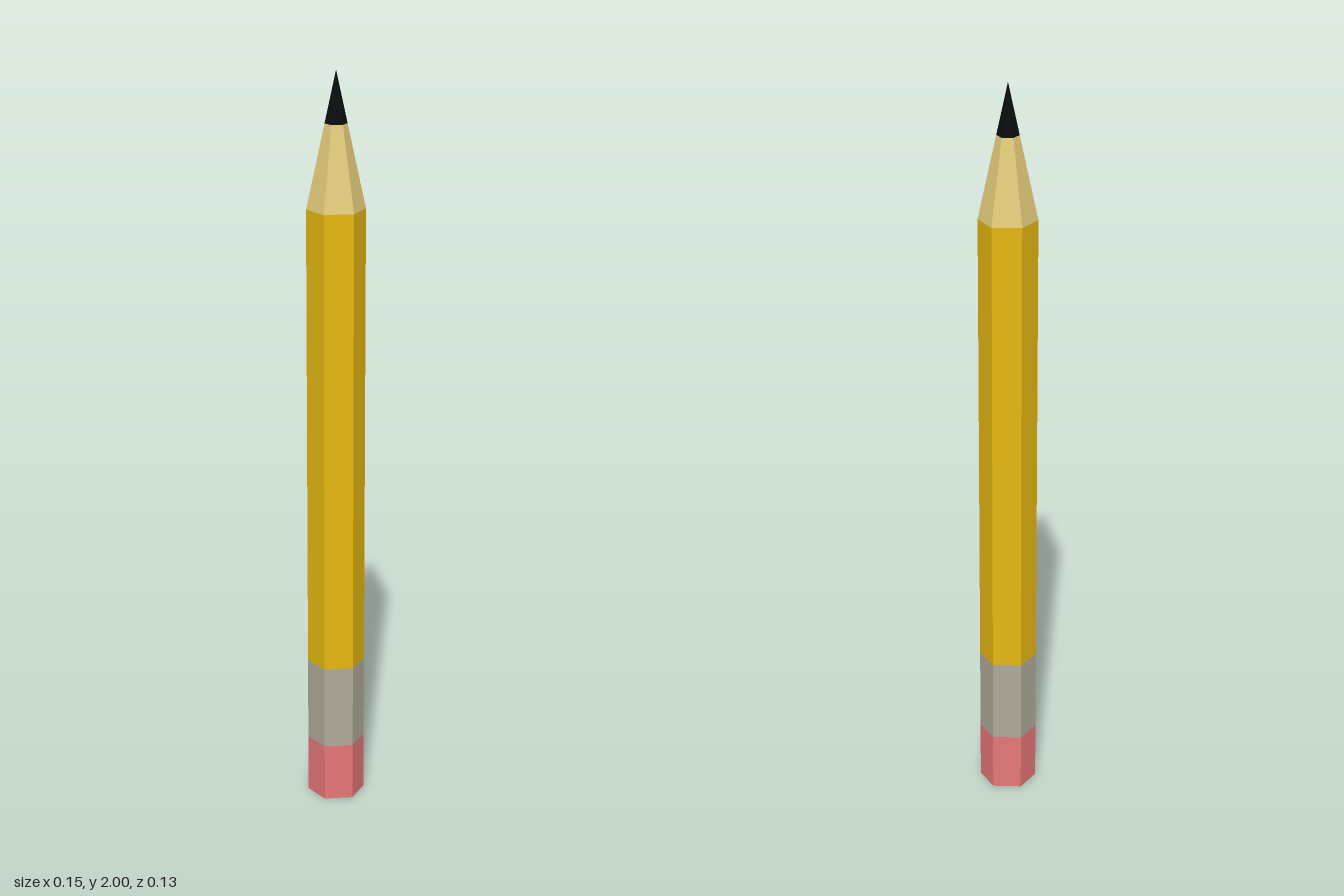
import * as THREE from 'three';

const RADIUS = 0.077;
const SHOULDER = 1.645; // where the sharpened cone starts
const TIP = 2;

function material(name, color) {
  const m = new THREE.MeshStandardMaterial({ color });
  m.name = name;
  m.flatShading = true;
  return m;
}

// Outer radius of the pencil at height y
function radiusAt(y) {
  return y <= SHOULDER ? RADIUS : RADIUS * (TIP - y) / (TIP - SHOULDER);
}

// One six-sided section between two heights, with corners on the x axis
function section(name, y0, y1, mat, capped = false) {
  const geo = new THREE.CylinderGeometry(
    radiusAt(y1), radiusAt(y0), y1 - y0, 6, 1, !capped, Math.PI / 2);
  const mesh = new THREE.Mesh(geo, mat);
  mesh.name = name;
  mesh.position.y = (y0 + y1) / 2;
  return mesh;
}

export function createModel() {
  const pencil = new THREE.Group();
  pencil.name = 'pencil';
  pencil.add(
    section('eraser', 0, 0.16, material('pink rubber', 0xe67678), true),
    section('ferrule', 0.16, 0.39, material('grey metal', 0xafaa98)),
    section('barrel', 0.39, SHOULDER, material('yellow paint', 0xe5b712)),
    section('sharpenedWood', SHOULDER, 1.865, material('bare wood', 0xe2cb7b)),
    section('lead', 1.865, TIP, material('black graphite', 0x0c0d0f)),
  );
  return pencil;
}
